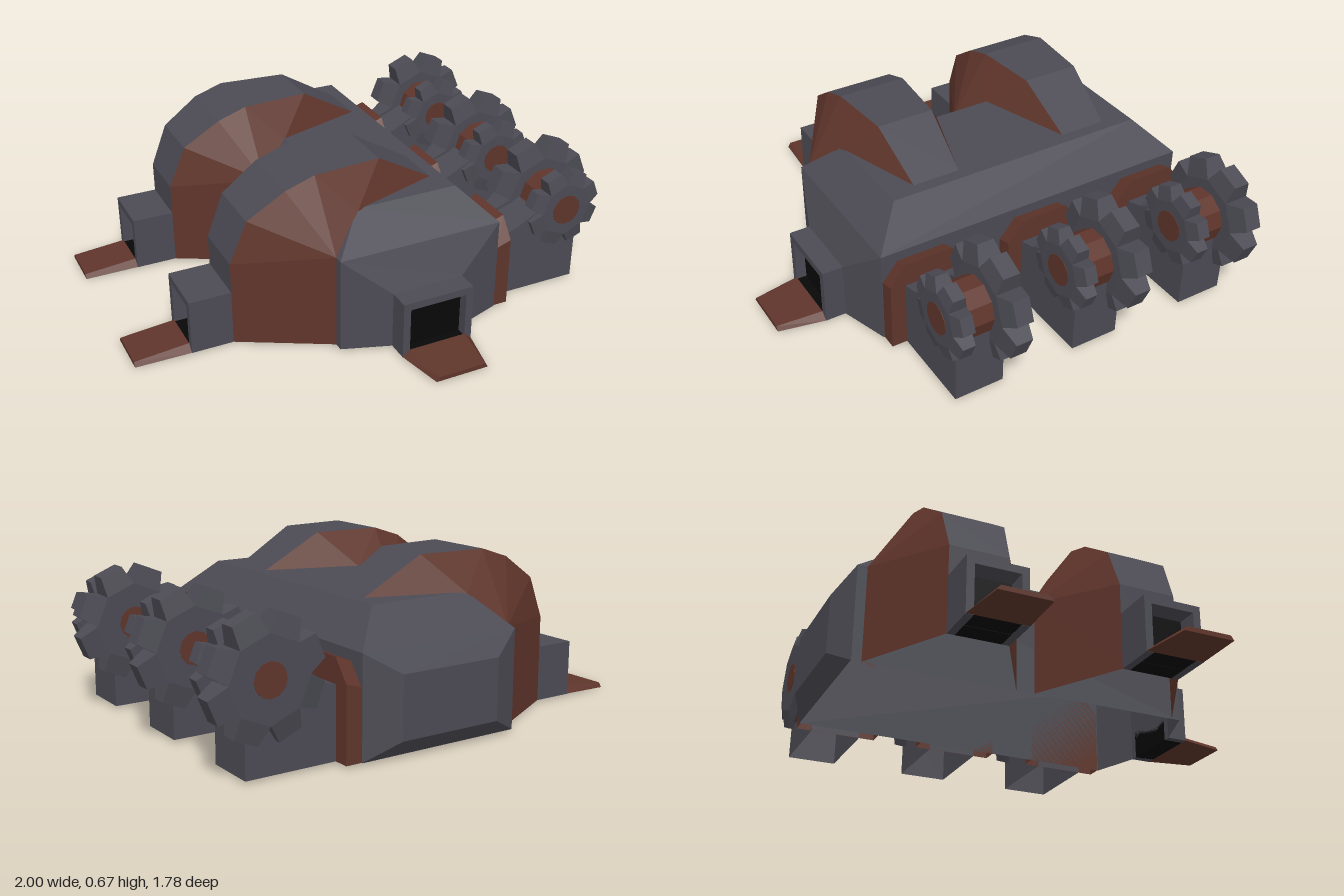
import * as THREE from 'three';
import { ConvexGeometry } from 'three/addons/geometries/ConvexGeometry.js';

const mat = (color) => new THREE.MeshStandardMaterial({ color, flatShading: true, side: THREE.DoubleSide });
const grey = mat(0x4c4b54), rust = mat(0x5f352b), black = mat(0x080808);

function add(parent, name, geometry, material) {
  const mesh = new THREE.Mesh(geometry, material);
  mesh.name = name;
  parent.add(mesh);
  return mesh;
}

// Convex solid from corner points
const hull = (points) => new ConvexGeometry(points.map((p) => new THREE.Vector3(...p)));

// All corner combinations of the given x, y and z values
const corners = (xs, ys, zs) => xs.flatMap((x) => ys.flatMap((y) => zs.map((z) => [x, y, z])));

function triangles(list) {
  const g = new THREE.BufferGeometry();
  g.setAttribute('position', new THREE.Float32BufferAttribute(list.flat(2), 3));
  g.computeVertexNormals();
  return g;
}

// Shell without its floor: drops the triangles lying at ground level
function openBelow(geometry) {
  const pos = geometry.getAttribute('position'), kept = [];
  for (let i = 0; i < pos.count; i += 3) {
    const tri = [0, 1, 2].map((k) => [pos.getX(i + k), pos.getY(i + k), pos.getZ(i + k)]);
    if (tri.some((p) => p[1] > 0.02)) kept.push(tri);
  }
  return triangles(kept);
}

// Entrance facing +z with its back at z = 0: arch frame, dark recess and ramp
function entrance(half, top, depth, rampLength, tip, tipY) {
  const g = new THREE.Group();
  const inner = half - 0.03;
  const arch = new THREE.Shape([
    [-half, 0.01], [-inner, 0.01], [-inner, top - 0.03], [inner, top - 0.03],
    [inner, 0.01], [half, 0.01], [half, top], [-half, top],
  ].map((p) => new THREE.Vector2(...p)));
  add(g, 'doorFrame', new THREE.ExtrudeGeometry(arch, { depth, bevelEnabled: false }), grey);
  const recess = new THREE.BoxGeometry(inner * 2, top - 0.04, depth * 0.5);
  add(g, 'doorRecess', recess.translate(0, top / 2 - 0.01, depth * 0.25), black);
  const sill = new THREE.BoxGeometry(inner * 2, 0.018, depth);
  add(g, 'doorSill', sill.translate(0, 0.02, depth / 2), black);
  const end = depth + rampLength;
  add(g, 'ramp', hull([
    ...corners([-half, half], [0.011], [depth]),
    ...corners([-inner, inner], [0.037], [depth]),
    ...corners([-tip, tip], [tipY], [end]),
    ...corners([-tip + 0.012, tip - 0.012], [tipY + 0.018], [end]),
  ]), rust);
  return g;
}

// Hangar pod: grey spine strip over flared rust sides
function pod() {
  const g = new THREE.Group();
  const spine = [
    [-0.61, 0.01, 0.118], [-0.61, 0.36, 0.118], [-0.54, 0.53, 0.125], [-0.39, 0.63, 0.143],
    [-0.27, 0.67, 0.143], [0.01, 0.67, 0.12], [0.25, 0.53, 0.1],
  ];
  const at = ([x, y, h], s) => [x, y, h * s];
  const strip = [], flanks = [];
  for (let i = 0; i < spine.length - 1; i++) {
    const a = spine[i], b = spine[i + 1];
    strip.push([at(a, 1), at(b, 1), at(b, -1)], [at(a, 1), at(b, -1), at(a, -1)]);
  }
  const A = [-0.26, 0.01, 0.307], B = [-0.26, 0.4, 0.307], C = [-0.13, 0.525, 0.225];
  const [s0, s1, s2, s3, s4, s5, s6] = spine;
  const half = [
    [s0, A, B], [s0, B, s1], [B, s2, s1], [B, s3, s2], [B, s4, s3],
    [B, C, s4], [C, s5, s4], [C, s6, s5],
  ];
  for (const [p, q, r] of half) {
    flanks.push([at(p, 1), at(q, 1), at(r, 1)], [at(p, -1), at(r, -1), at(q, -1)]);
  }
  add(g, 'podSpine', triangles(strip), grey);
  add(g, 'podFlanks', triangles(flanks), rust);
  const door = entrance(0.118, 0.235, 0.17, 0.22, 0.1, 0);
  door.name = 'podEntrance';
  door.rotation.y = -Math.PI / 2;
  door.position.x = -0.61;
  g.add(door);
  return g;
}

// Gear around z: octagonal core with eight tapered teeth and a rust hub
function gear(root, tip, halfDepth, tipDepth) {
  const g = new THREE.Group();
  const polar = (r, a, z) => [r * Math.cos(a), r * Math.sin(a), z];
  const step = Math.PI / 4, core = [];
  for (let i = 0; i < 8; i++) {
    const mid = (i + 0.5) * step, pts = [];
    for (const s of [-1, 1]) {
      core.push(polar(root, i * step, s * halfDepth));
      for (const t of [-1, 1]) {
        pts.push(polar(root, mid + t * step / 2, s * halfDepth));
        pts.push(polar(tip, mid + t * 0.21, s * tipDepth));
      }
    }
    add(g, 'gearTooth', hull(pts), grey);
  }
  add(g, 'gearCore', hull(core), grey);
  const hub = new THREE.CylinderGeometry(0.064, 0.064, halfDepth * 2 + 0.004, 12);
  add(g, 'gearHub', hub.rotateX(Math.PI / 2), rust);
  return g;
}

// Side machine: wall plate, support block, axle and two gears
function gearMachine() {
  const g = new THREE.Group();
  add(g, 'wallPlate', openBelow(hull([
    ...corners([0.43, 0.493], [0.01], [-0.165, 0.165]),
    ...corners([0.43], [0.28], [-0.165, 0.165]), ...corners([0.493], [0.3], [-0.165, 0.165]),
    ...corners([0.43], [0.36], [-0.1, 0.1]), ...corners([0.493], [0.383], [-0.1, 0.1]),
  ])), rust);
  const profile = new THREE.Shape([
    [0.49, 0.01], [0.853, 0.01], [0.853, 0.285], [0.66, 0.36], [0.56, 0.305], [0.49, 0.285],
  ].map((p) => new THREE.Vector2(...p)));
  const block = new THREE.ExtrudeGeometry(profile, { depth: 0.204, bevelEnabled: false });
  add(g, 'supportBlock', openBelow(block.translate(0, 0, -0.102)), grey);
  const axle = new THREE.CylinderGeometry(0.11, 0.11, 0.18, 10);
  axle.rotateY(Math.PI / 2).rotateX(Math.PI / 2);
  add(g, 'axle', axle, rust).position.set(0.775, 0.355, 0);
  const large = gear(0.157, 0.228, 0.052, 0.034);
  large.name = 'largeGear';
  large.position.set(0.775, 0.353, -0.09);
  const small = gear(0.112, 0.164, 0.037, 0.025);
  small.name = 'smallGear';
  small.position.set(0.775, 0.355, 0.097);
  g.add(large, small);
  return g;
}

export function createModel() {
  const model = new THREE.Group();
  model.name = 'factory';

  // Main hall with bevelled ends, open underneath
  add(model, 'mainHall', openBelow(hull([
    ...corners([-0.26, 0.43], [0.01, 0.4], [-0.83, 0.55]),
    ...corners([-0.13, 0.3], [0.53], [-0.7, 0.42]),
    ...corners([-0.07, 0.23], [0.01, 0.245], [0.615]),
    ...corners([-0.13, 0.3], [0.08, 0.32], [-0.89]),
  ])), grey);

  const front = entrance(0.15, 0.245, 0.085, 0.188, 0.11, 0.009);
  front.name = 'frontEntrance';
  front.position.set(0.08, 0, 0.615);
  model.add(front);

  for (const z of [-0.484, 0.207]) {
    const p = pod();
    p.name = 'hangarPod';
    p.position.z = z;
    model.add(p);
  }
  for (const z of [-0.66, -0.138, 0.381]) {
    const m = gearMachine();
    m.name = 'gearMachine';
    m.position.z = z;
    model.add(m);
  }
  return model;
}
